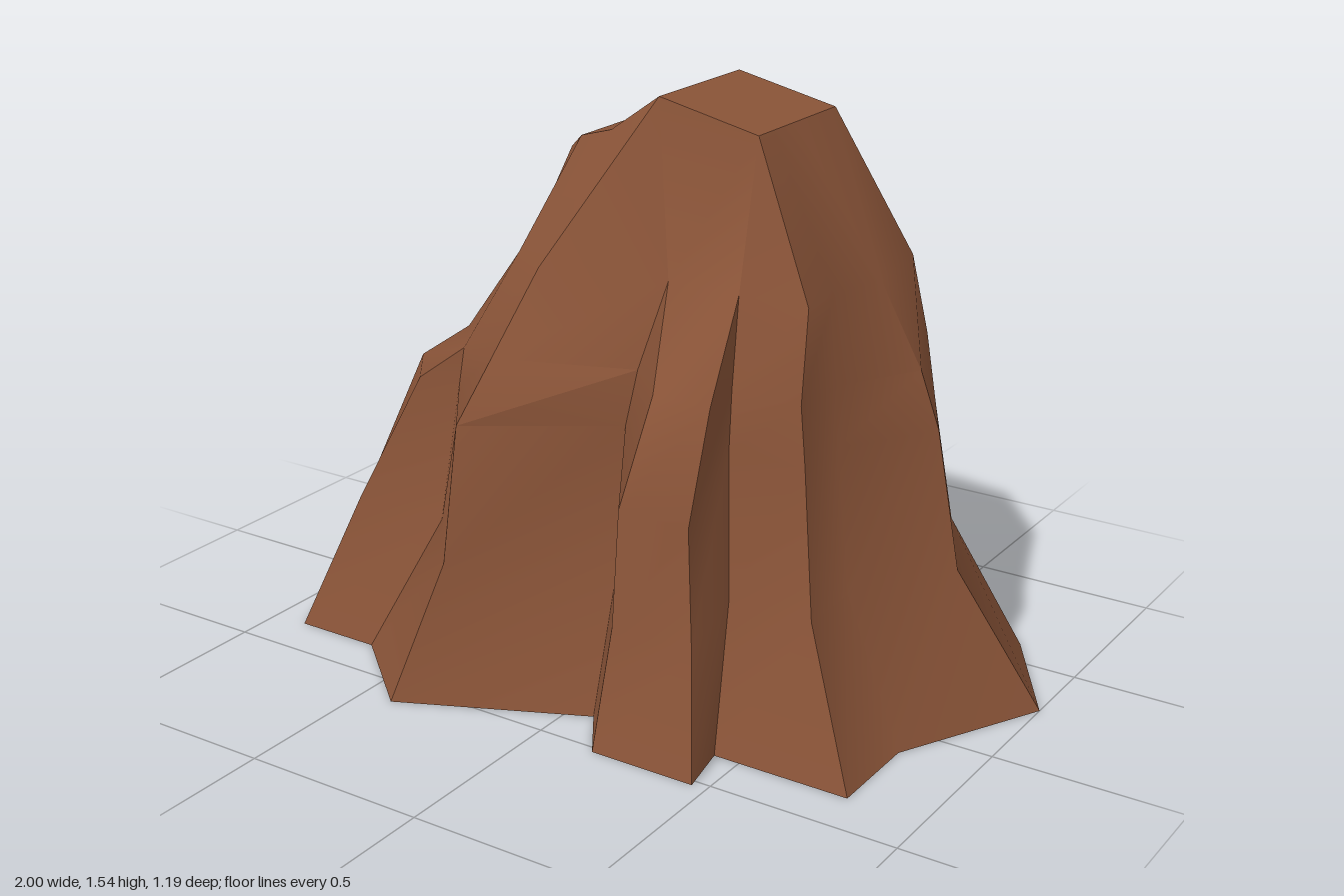
import * as THREE from 'three';
import { toCreasedNormals } from 'three/addons/utils/BufferGeometryUtils.js';

const MID = -0.115; // depth axis of the rock
const LEVELS = [0, 0.37, 0.74, 0.89, 1.11, 1.48];
const HALF = [0.485, 0.375, 0.335, 0.325, 0.265, 0.185]; // half depth of the main wall per level
const END = [0.235, 0.21, 0.185, 0.185, 0.16, 0.14]; // half depth of the left end facet
const FRONT = HALF.map((h) => MID + h);
const BACK = HALF.map((h) => MID - h);

// A column is one vertical polyline running from the ground to the rim
const column = (xs, zs, ys = LEVELS) => xs.map((x, i) => new THREE.Vector3(x, ys[i], zs[i]));
const withTop = (top, low = 0.89) => [0, 0.37, 0.74, low, 1.11, top];
const mirrored = (col) => col.map((p) => new THREE.Vector3(p.x, p.y, 2 * MID - p.z));

// Skin neighbouring columns, leaving out triangles collapsed to a line
function skin(columns) {
  const pos = [];
  const tri = (a, b, c) => {
    const area = b.clone().sub(a).cross(c.clone().sub(a)).length();
    if (area > 1e-5) for (const p of [a, b, c]) pos.push(p.x, p.y, p.z);
  };
  for (let i = 0; i < columns.length - 1; i++) {
    const a = columns[i], b = columns[i + 1];
    for (let j = 0; j < a.length - 1; j++) {
      tri(a[j], b[j], b[j + 1]);
      tri(a[j], b[j + 1], a[j + 1]);
    }
  }
  const g = new THREE.BufferGeometry();
  g.setAttribute('position', new THREE.Float32BufferAttribute(pos, 3));
  return toCreasedNormals(g, 0.6);
}

export function createModel() {
  const group = new THREE.Group();
  group.name = 'rockyHill';
  const material = new THREE.MeshStandardMaterial({ color: 0x8a5438, side: THREE.DoubleSide });
  const add = (name, columns) => {
    const mesh = new THREE.Mesh(skin(columns), material);
    mesh.name = name;
    group.add(mesh);
  };

  // Left end with its small ledge
  const leftCorner = column([-0.9, -0.77, -0.58, -0.43, -0.3, -0.17],
    [0.37, 0.26, 0.22, 0.22, 0.15, 0.055], withTop(1.41, 0.85));
  const leftFacet = column([-1, -0.86, -0.69, -0.53, -0.34, -0.22],
    END.map((e) => MID + e), withTop(1.37, 0.85));
  add('leftEnd', [mirrored(leftCorner), mirrored(leftFacet), leftFacet, leftCorner]);

  // Front wall swelling into a spur
  const spurFoot = column([-0.66, -0.49, -0.45, -0.43, -0.3, -0.17],
    [0.37, 0.26, 0.22, 0.22, 0.15, 0.055], withTop(1.41, 0.85));
  const spurEdge = column([-0.41, -0.31, -0.28, -0.25, -0.18, -0.07],
    [0.59, 0.48, 0.45, 0.34, 0.23, 0.07], withTop(1.44));
  const ridgeLeft = column([0.07, 0.07, 0.07, 0.1, 0.15, 0.07], FRONT, withTop(1.54));
  add('frontPanel', [leftCorner, spurFoot]);
  add('frontSpur', [spurFoot, spurEdge, ridgeLeft]);

  // Buttress ridge leaning on the front
  const ridgeY = [0, 0.3, 0.6, 0.89, 1.11];
  const ridgeZ = [0.52, 0.43, 0.4, 0.34, 0.15, 0.07];
  const outerLeft = column([0.17, 0.17, 0.17, 0.23, 0.15, 0.07], ridgeZ, [...ridgeY, 1.54]);
  const outerRight = column([0.46, 0.4, 0.37, 0.39, 0.35, 0.35], ridgeZ, [...ridgeY, 1.48]);
  const ridgeRight = column([0.43, 0.4, 0.37, 0.37, 0.35, 0.35], FRONT);
  add('frontRidge', [ridgeLeft, outerLeft, outerRight, ridgeRight]);

  // Right end coming to a blunt keel
  const cornerX = [0.8, 0.63, 0.58, 0.56, 0.54, 0.35];
  const rightFront = column(cornerX, FRONT);
  const rightFacet = column(cornerX, [0.11, 0.08, 0.06, 0.05, 0.03, 0]);
  const rightKeel = column([1, 0.79, 0.73, 0.68, 0.57, 0.35], [-0.28, -0.2, -0.18, -0.17, -0.15, -0.11]);
  const rightBack = column(cornerX, BACK);
  add('frontRightPanel', [ridgeRight, rightFront]);
  add('rightEnd', [rightFront, rightFacet, rightKeel, rightBack]);

  // Back wall
  const backRight = column([0.07, 0.07, 0.07, 0.07, 0.07, 0.07], BACK, withTop(1.54));
  const backLeft = column([-0.3, -0.25, -0.2, -0.18, -0.12, -0.07], BACK, withTop(1.44));
  add('backWall', [rightBack, backRight, backLeft, mirrored(leftCorner)]);

  // Summit: strips running from the front rim to the back rim
  const rim = [leftFacet, leftCorner, spurEdge, ridgeLeft, rightFront].map((c) => c[5]);
  add('summit', rim.map((p) => [p, ...mirrored([p])]));
  return group;
}
